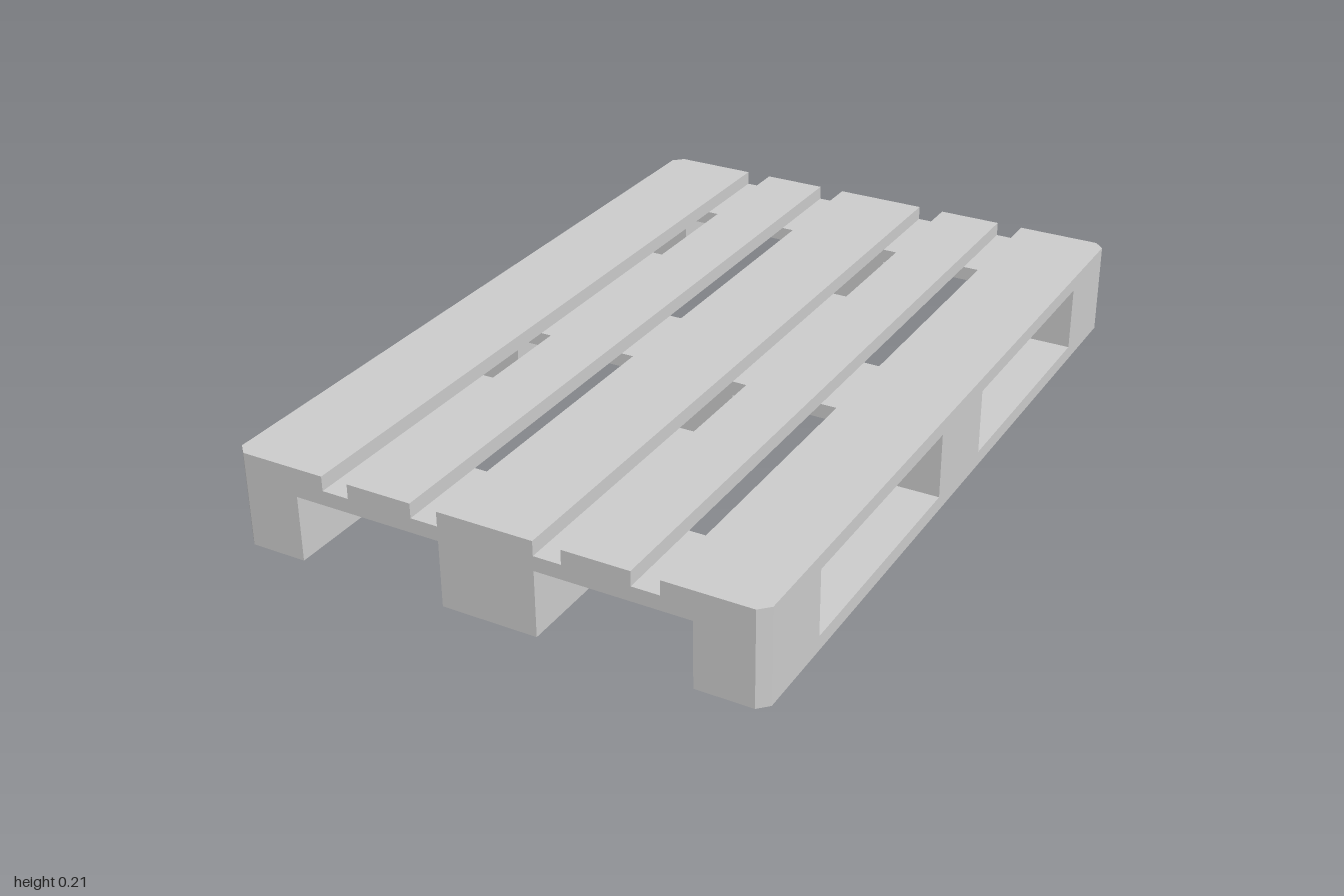
import * as THREE from 'three';

const S = 0.001458;                 // model units per millimetre
const W = 400, L = 600, CUT = 15;   // half width, half length, corner chamfer (mm)
const material = new THREE.MeshStandardMaterial({ color: 0xcccccc, flatShading: true });

// Board or block centred at (x, z); corners lying on the pallet's own corners are chamfered
function timber(name, x, z, width, length, y0, y1) {
  const points = [];
  for (const [sx, sz] of [[-1, -1], [1, -1], [1, 1], [-1, 1]]) {
    const px = x + sx * width / 2, pz = z + sz * length / 2;
    if (Math.abs(px) > W - 1 && Math.abs(pz) > L - 1) {
      const a = new THREE.Vector2(px - sx * CUT, pz);
      const b = new THREE.Vector2(px, pz - sz * CUT);
      points.push(...(sx * sz > 0 ? [b, a] : [a, b]));
    } else {
      points.push(new THREE.Vector2(px, pz));
    }
  }
  // keep a consistent winding round each chamfered corner
  const centre = new THREE.Vector2(x, z);
  points.sort((p, q) => p.clone().sub(centre).angle() - q.clone().sub(centre).angle());

  const geometry = new THREE.ExtrudeGeometry(new THREE.Shape(points), { depth: y1 - y0, bevelEnabled: false });
  geometry.rotateX(-Math.PI / 2).translate(0, y0, 0).scale(S, S, S);
  const mesh = new THREE.Mesh(geometry, material);
  mesh.name = name;
  return mesh;
}

export function createModel() {
  const pallet = new THREE.Group();
  pallet.name = 'pallet';

  // Five deck boards, alternating wide and narrow
  const deckWidths = [145, 100, 145, 100, 145];
  const gap = (2 * W - 635) / 4;
  let edge = -W;
  for (const width of deckWidths) {
    pallet.add(timber('deckBoard', edge + width / 2, 0, width, 2 * L, 122, 144));
    edge += width + gap;
  }

  // Three cross boards under the deck
  const rows = [-L + 72.5, 0, L - 72.5];
  for (const z of rows) pallet.add(timber('crossBoard', 0, z, 2 * W, 145, 100, 122));

  // Three skids, each carrying three blocks
  for (const [x, width] of [[-W + 50, 100], [0, 145], [W - 50, 100]]) {
    pallet.add(timber('skid', x, 0, width, 2 * L, 0, 22));
    for (const z of rows) pallet.add(timber('block', x, z, width, 145, 22, 100));
  }

  // The pallet stands turned on the floor
  pallet.rotation.y = THREE.MathUtils.degToRad(17.1);

  const model = new THREE.Group();
  model.name = 'palletModel';
  model.add(pallet);
  return model;
}
